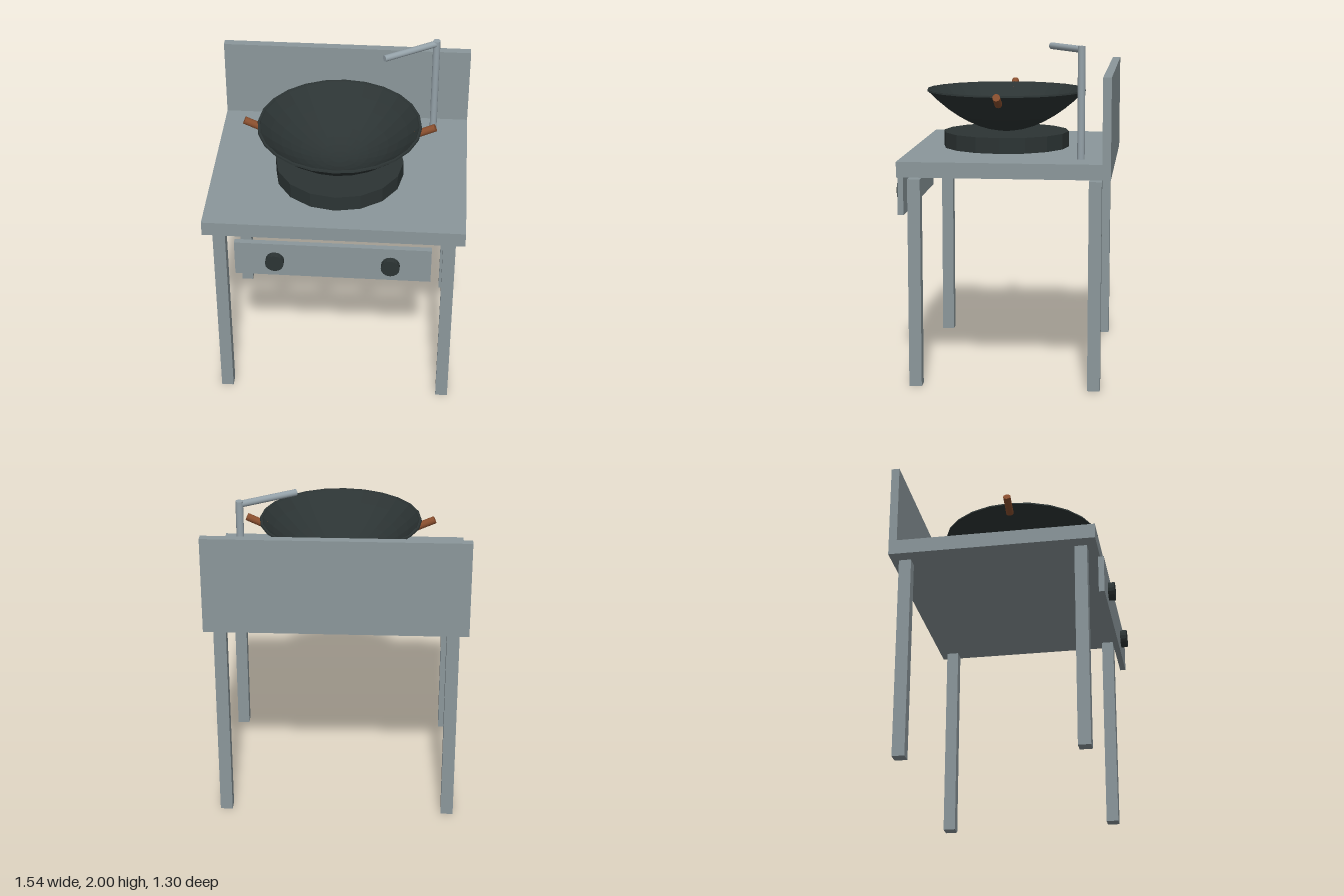
import * as THREE from 'three';

const mat = (name, color, extra = {}) => {
  const m = new THREE.MeshStandardMaterial({ color, ...extra });
  m.name = name;
  return m;
};

export function createModel() {
  const root = new THREE.Group();
  root.name = 'wokStove';

  const steel = mat('brushedSteel', 0x8b979b);
  const pipe = mat('pipeSteel', 0x95a2a9);
  const iron = mat('castIron', 0x2c3434, { flatShading: true });
  const wood = mat('handleWood', 0x8a4f2e);

  const add = (name, geometry, material, x = 0, y = 0, z = 0) => {
    const mesh = new THREE.Mesh(geometry, material);
    mesh.name = name;
    mesh.position.set(x, y, z);
    root.add(mesh);
    return mesh;
  };

  // Box given by its minimum and maximum corners
  const box = (name, [x0, y0, z0], [x1, y1, z1]) =>
    add(name, new THREE.BoxGeometry(x1 - x0, y1 - y0, z1 - z0), steel,
      (x0 + x1) / 2, (y0 + y1) / 2, (z0 + z1) / 2);

  // Cylinder running between two points
  const rod = (name, a, b, radius, sides, material) => {
    const from = new THREE.Vector3(...a);
    const dir = new THREE.Vector3(...b).sub(from);
    const mesh = add(name, new THREE.CylinderGeometry(radius, radius, dir.length(), sides), material);
    mesh.position.copy(from).addScaledVector(dir, 0.5);
    mesh.quaternion.setFromUnitVectors(new THREE.Vector3(0, 1, 0), dir.normalize());
    return mesh;
  };

  // Table, splash back and control panel
  box('tableTop', [-0.77, 1.255, -0.647], [0.77, 1.345, 0.585]);
  box('splashBack', [-0.77, 1.345, -0.647], [0.77, 1.84, -0.598]);
  box('controlPanel', [-0.578, 1.0, 0.578], [0.578, 1.23, 0.612]);

  for (const side of [-1, 1]) {
    // Legs
    for (const z of [-0.557, 0.493]) {
      const x = side * 0.68;
      box(z > 0 ? 'frontLeg' : 'backLeg', [x - 0.037, 0, z - 0.037], [x + 0.037, 1.237, z + 0.037]);
    }
    // Control knobs
    rod('knob', [side * 0.34, 1.114, 0.608], [side * 0.34, 1.114, 0.65], 0.055, 16, iron);
    // Wok handles, passing through the wall
    rod('wokHandle', [side * 0.452, 1.647, 0.028], [side * 0.568, 1.699, 0.028], 0.023, 12, wood);
  }

  // Burner ring
  const centreZ = 0.028;
  add('burner', new THREE.CylinderGeometry(0.387, 0.387, 0.095, 16), iron, 0, 1.3925, centreZ);

  // Wok: parabolic bowl with a thin lip, outside up then inside down
  const steps = 8;
  const profile = [];
  for (let i = 0; i <= steps; i++) {
    const t = i / steps;
    profile.push(new THREE.Vector2(0.48 * t, 0.245 * t * t));
  }
  profile.push(new THREE.Vector2(0.49, 0.25), new THREE.Vector2(0.488, 0.26), new THREE.Vector2(0.475, 0.26));
  for (let i = steps; i >= 0; i--) {
    const t = i / steps;
    profile.push(new THREE.Vector2(0.47 * t, 0.015 + 0.238 * t * t));
  }
  add('wok', new THREE.LatheGeometry(profile, 24), iron, 0, 1.44, centreZ);

  // Swing tap
  rod('tapPost', [0.555, 1.345, -0.465], [0.555, 2.0, -0.465], 0.022, 16, pipe);
  rod('tapSpout', [0.558, 1.98, -0.467], [0.247, 1.98, -0.27], 0.02, 16, pipe);

  return root;
}
